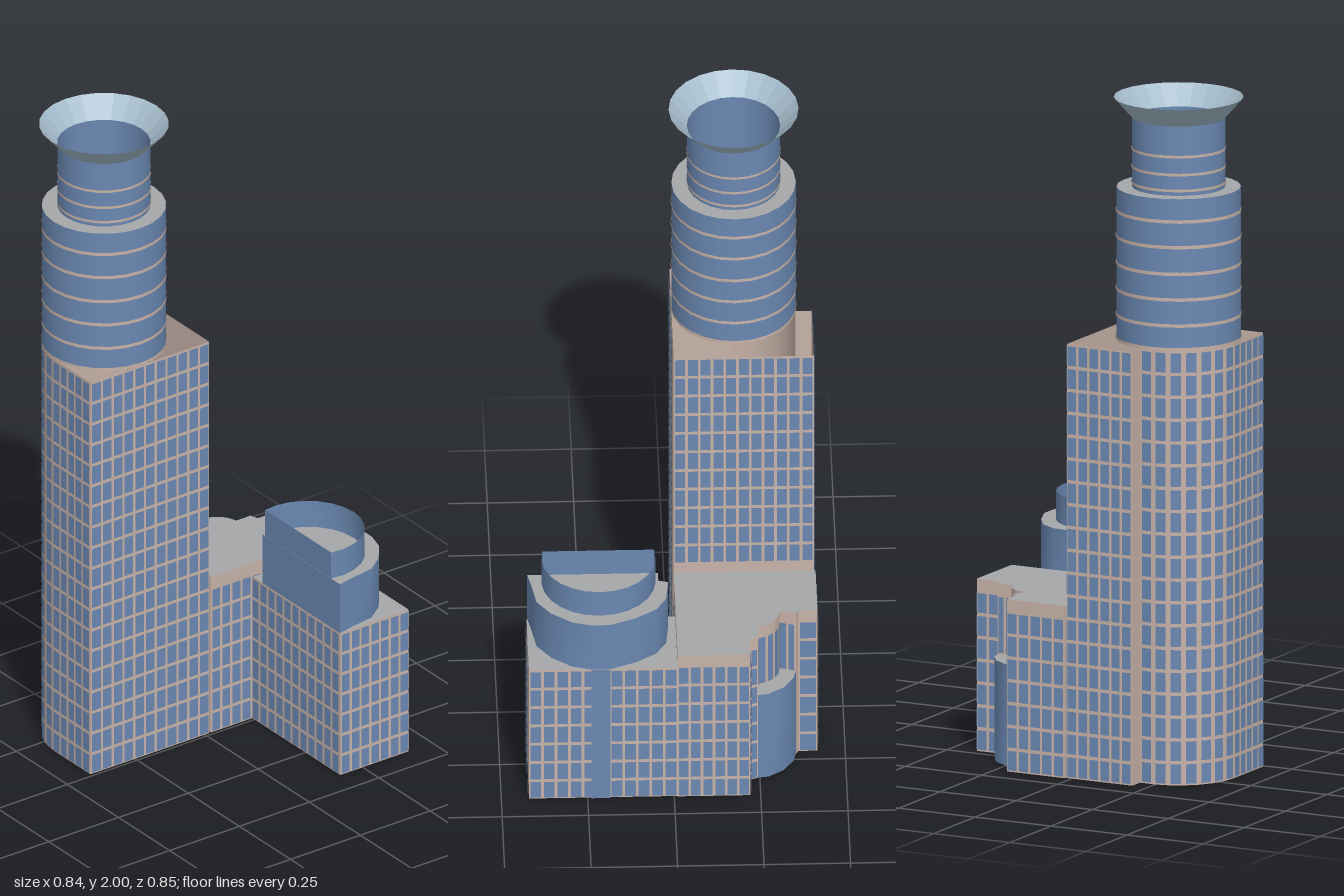
import * as THREE from 'three';
import { toCreasedNormals } from 'three/addons/utils/BufferGeometryUtils.js';

const paint = (name, color) => {
  const m = new THREE.MeshStandardMaterial({ color, side: THREE.DoubleSide });
  m.name = name;
  return m;
};

export function createModel() {
  const root = new THREE.Group();
  root.name = 'skyscraper';
  const glass = paint('blue glass', 0x6a88b2);
  const frame = paint('pink stone', 0xc8b3a9);
  const roofGrey = paint('roof grey', 0xa6a7a8);
  const steel = paint('pale steel', 0xa6bdcc);

  const add = (name, geometry, material, parent = root) => {
    const mesh = new THREE.Mesh(geometry, material);
    mesh.name = name;
    parent.add(mesh);
    return mesh;
  };

  // Vertical quads [a, b, y0, y1], seen from the outside with a on the left
  const sheet = (quads) => {
    const v = [];
    for (const [a, b, y0, y1] of quads) {
      const A = [a[0], y0, a[1]], B = [b[0], y0, b[1]], C = [b[0], y1, b[1]], D = [a[0], y1, a[1]];
      v.push(...A, ...B, ...C, ...A, ...C, ...D);
    }
    const g = new THREE.BufferGeometry();
    g.setAttribute('position', new THREE.Float32BufferAttribute(v, 3));
    g.computeVertexNormals();
    return toCreasedNormals(g, 0.6);
  };

  const plainWall = (name, path, y0, y1, material) =>
    add(name, sheet(path.slice(1).map((p, i) => [path[i], p, y0, y1])), material);

  // Stone wall along a path of [x, z] points with a grid of window panes
  const facade = (name, path, y0, y1, { pitch = 0.0676, colW = 0.0375, skip = () => false, gap = 0.004 } = {}) => {
    const group = new THREE.Group();
    group.name = name;
    root.add(group);
    const walls = [], panes = [];
    for (let i = 1; i < path.length; i++) {
      const a = path[i - 1], b = path[i];
      walls.push([a, b, y0, y1]);
      const dx = b[0] - a[0], dz = b[1] - a[1], len = Math.hypot(dx, dz);
      const cols = Math.round(len / colW);
      const ox = -dz / len * 0.003, oz = dx / len * 0.003;
      const at = (s) => [a[0] + dx * s / len + ox, a[1] + dz * s / len + oz];
      const rows = Math.floor((y1 - y0) / pitch + 0.01);
      for (let r = 0; r < rows; r++) {
        if (skip(i, r)) continue;
        for (let c = 0; c < cols; c++) {
          const w = len / cols;
          panes.push([at(c * w + gap), at((c + 1) * w - gap),
            y0 + r * pitch + 0.005, y0 + (r + 1) * pitch - 0.005]);
        }
      }
    }
    add(name + 'Frame', sheet(walls), frame, group);
    if (panes.length) add(name + 'Windows', sheet(panes), glass, group);
  };

  // Flat horizontal sheet from [x, z] points
  const plate = (name, pts, y, material) => {
    const g = new THREE.ShapeGeometry(new THREE.Shape(pts.map(([x, z]) => new THREE.Vector2(x, -z))));
    g.rotateX(-Math.PI / 2).translate(0, y, 0);
    return add(name, g, material);
  };

  const arc = (cx, cz, r, from, to, n) => Array.from({ length: n + 1 }, (_, i) => {
    const t = from + (to - from) * i / n;
    return [cx + r * Math.cos(t), cz + r * Math.sin(t)];
  });

  // Tower shaft, open at the top, with one rounded back corner
  const CX = -0.23, CZ = -0.19, R = 0.18;
  const H = 1.285;
  facade('towerWalls', [[-0.41, -0.01], [0.015, -0.01], [0.015, -0.415], [-0.2, -0.415], [-0.2, -0.368]],
    0, H, { skip: (i, r) => i === 4 || (i === 2 && r === 7) });
  facade('towerRoundedCorner', arc(CX, CZ, R, -Math.PI / 2 + 0.167, -Math.PI, 7), 0, H, { gap: 0.007 });
  facade('towerSideWall', [[-0.41, -0.19], [-0.41, -0.01]], 0, H);

  // Round upper tiers with stone bands
  const tube = (name, r, y0, y1, material, rTop = r) => {
    const g = new THREE.CylinderGeometry(rTop, r, y1 - y0, 24, 1, true);
    g.translate(CX, (y0 + y1) / 2, CZ);
    return add(name, g, material);
  };
  const disc = (name, g, y, material) => {
    g.rotateX(-Math.PI / 2).translate(CX, y, CZ);
    add(name, g, material);
  };
  tube('lowerDrum', R, H, 1.735, glass);
  tube('upperDrum', 0.135, 1.735, 1.94, glass);
  for (const y of [1.29, 1.36, 1.437, 1.513, 1.592, 1.668]) tube('lowerDrumBand', R + 0.002, y - 0.005, y + 0.005, frame);
  for (const y of [1.75, 1.797, 1.85]) tube('upperDrumBand', 0.137, y - 0.004, y + 0.004, frame);
  disc('drumFloor', new THREE.CircleGeometry(R, 24), H, frame);
  disc('drumLedge', new THREE.RingGeometry(0.135, R, 24), 1.735, roofGrey);
  const crown = tube('flaredCrown', 0.135, 1.94, 2, steel, 0.188);
  crown.geometry = crown.geometry.toNonIndexed();
  crown.geometry.computeVertexNormals();

  // Rear podium with a curved recess in its outer corner
  const innerArc = arc(0.21, -0.235, 0.075, -0.13, -Math.PI / 2, 4);
  const outerArc = [[0.335, -0.24], [0.33, -0.275], [0.30, -0.32], [0.255, -0.35], [0.225, -0.357]];
  const sideA = [[0.02, -0.01], [0.417, -0.01], [0.417, -0.22], [0.343, -0.22], [0.335, -0.245]];
  const sideB = [[0.225, -0.357], [0.21, -0.365], [0.21, -0.42], [0.02, -0.42]];
  const recess = [sideA[4], ...innerArc, sideB[0]];
  const P = 0.51;
  facade('podiumOuterWalls', sideA, 0, P);
  facade('podiumBackWalls', sideB, 0, P);
  plainWall('podiumInnerWall', [[0.02, -0.42], [0.02, -0.01]], 0, P, frame);
  facade('podiumRecess', recess, 0.3, P, { pitch: 0.175, colW: 0.03 });
  plainWall('podiumCurvedGlass', outerArc, 0, 0.3, glass);
  plate('podiumRoof', [...sideA, ...innerArc, ...sideB], P, roofGrey);
  plate('recessLedge', [...outerArc, ...innerArc.slice().reverse()], 0.3, roofGrey);

  // Front block
  const B = 0.465;
  const block = [[0.17, -0.01], [0.17, 0.42], [0.415, 0.42], [0.415, -0.01]];
  facade('frontBlockWalls', block, 0, B, { pitch: 0.0664 });
  plate('frontBlockRoof', block, B, roofGrey);
  plainWall('frontBlockGlassStrip', [[0.419, 0.24], [0.419, 0.185]], 0, B, glass);

  // Half-round tiers on the front block; the upper one is an open rim
  const half = [[0.17, 0.418], [0.225, 0.407], [0.30, 0.395], [0.355, 0.355], [0.40, 0.295], [0.416, 0.24],
    [0.416, 0.185], [0.385, 0.11], [0.345, 0.05], [0.295, 0.02], [0.215, 0.012], [0.208, 0.04], [0.17, 0.04], [0.17, 0.418]];
  const rim = [...arc(0.205, 0.213, 0.165, 1.78, -1.78, 14)];
  rim.push(rim[0]);
  plainWall('halfRoundTier', half, B, 0.625, glass);
  plate('halfRoundRoof', half.slice(0, -1), 0.625, roofGrey);
  plainWall('halfRoundRim', rim, 0.625, 0.71, glass);

  return root;
}
